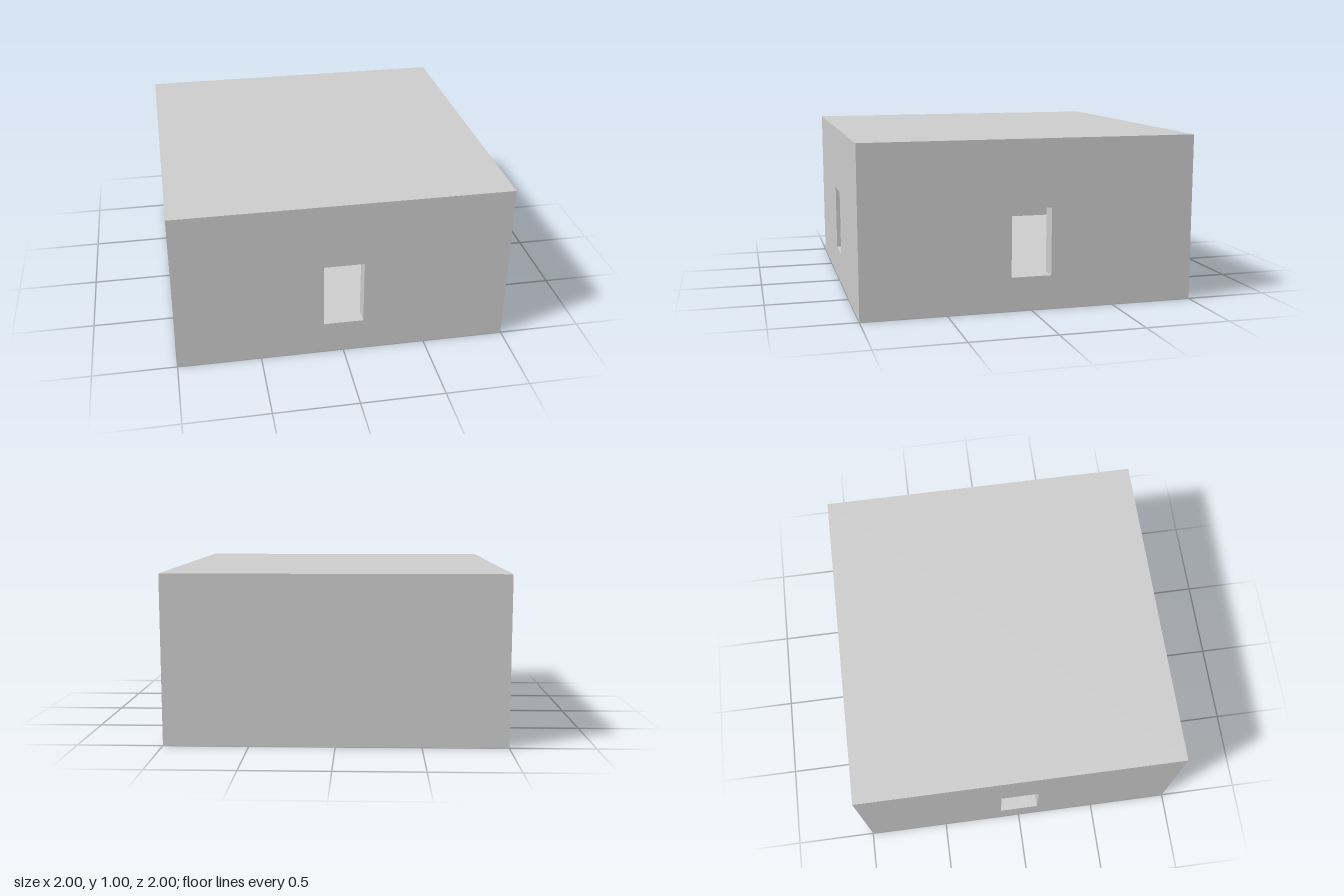
import * as THREE from 'three';

const SIZE = 2, HEIGHT = 1;
const WALL = 0.1, SLAB = 0.2;          // wall and slab thickness
const DOOR_W = 0.24, DOOR_H = 0.4;
const WALL_H = HEIGHT - 2 * SLAB;

const material = new THREE.MeshStandardMaterial({ color: 0xcccccc, flatShading: true });

function add(parent, name, geometry) {
  const mesh = new THREE.Mesh(geometry, material);
  mesh.name = name;
  parent.add(mesh);
  return mesh;
}

// Upright wall with its outer face on z = 0, optionally notched by a doorway
function wallGeometry(width, hasDoor) {
  const w = width / 2, d = DOOR_W / 2;
  const outline = [[-w, 0]];
  if (hasDoor) outline.push([-d, 0], [-d, DOOR_H], [d, DOOR_H], [d, 0]);
  outline.push([w, 0], [w, WALL_H], [-w, WALL_H]);
  const shape = new THREE.Shape(outline.map(([x, y]) => new THREE.Vector2(x, y)));
  return new THREE.ExtrudeGeometry(shape, { depth: WALL, bevelEnabled: false })
    .translate(0, 0, -WALL);
}

export function createModel() {
  const room = new THREE.Group();
  room.name = 'room';

  // Floor and roof slabs
  add(room, 'floor', new THREE.BoxGeometry(SIZE, SLAB, SIZE)).position.y = SLAB / 2;
  add(room, 'roof', new THREE.BoxGeometry(SIZE, SLAB, SIZE)).position.y = HEIGHT - SLAB / 2;

  // Four walls, turned to face outwards; the back one has no doorway
  const inner = SIZE - 2 * WALL;
  const walls = [
    ['frontWall', SIZE, true],
    ['leftWall', inner, true],
    ['backWall', SIZE, false],
    ['rightWall', inner, true],
  ];
  walls.forEach(([name, width, hasDoor], i) => {
    const angle = i * Math.PI / 2;
    const wall = add(room, name, wallGeometry(width, hasDoor));
    wall.rotation.y = angle;
    wall.position.set(Math.sin(angle) * SIZE / 2, SLAB, Math.cos(angle) * SIZE / 2);
  });

  return room;
}
